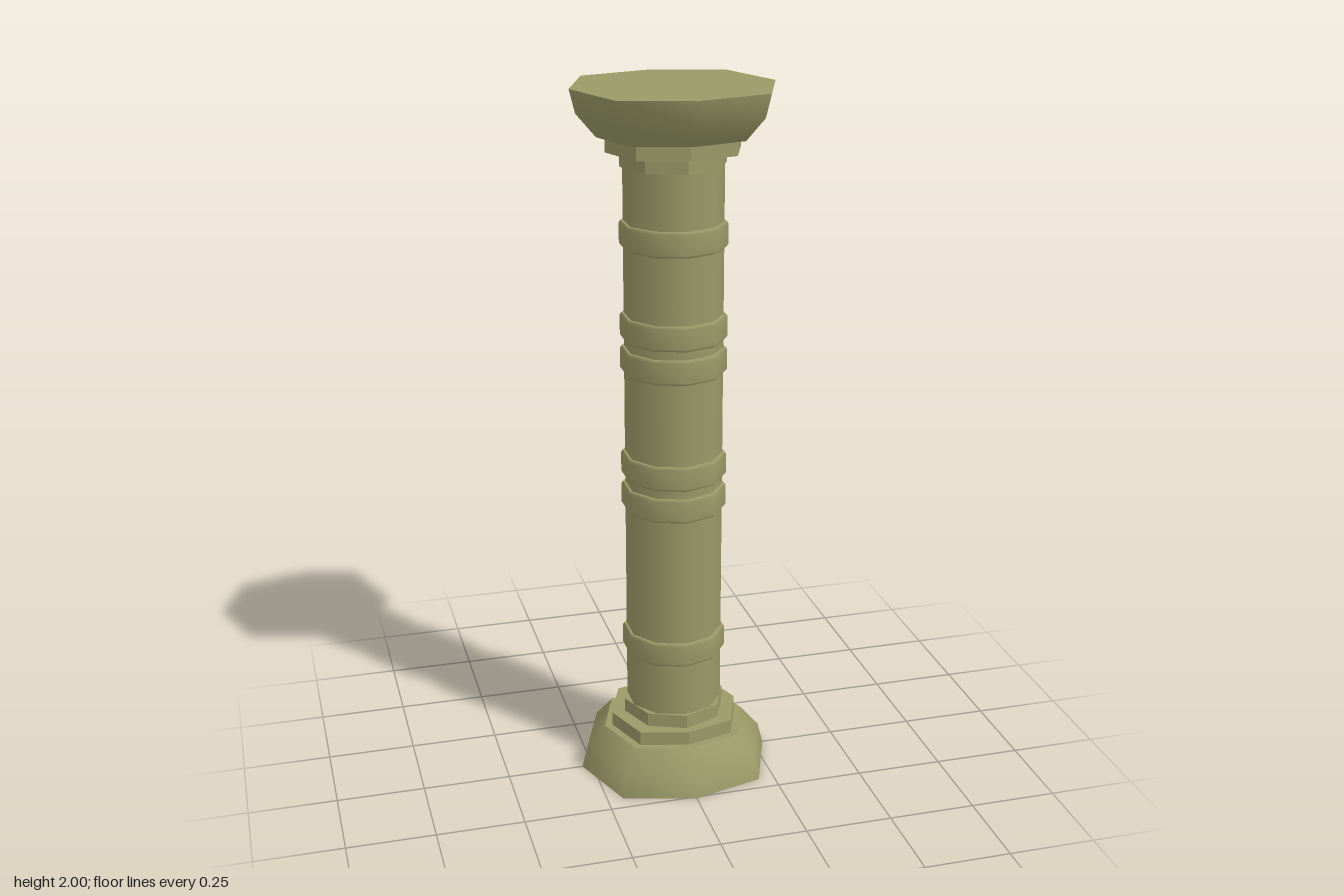
import * as THREE from 'three';
import { mergeGeometries } from 'three/addons/utils/BufferGeometryUtils.js';

const stone = new THREE.MeshStandardMaterial({ color: 0x9a9a68 });
const stoneFlat = new THREE.MeshStandardMaterial({ color: 0x9a9a68, flatShading: true });

// Turns a regular octagon into the uneven one of the footing: wide in x, shallow in z
function unevenOctagon(geometry) {
  const p = geometry.attributes.position;
  for (let i = 0; i < p.count; i++) {
    const x = p.getX(i), z = p.getZ(i);
    const ax = Math.abs(x), az = Math.abs(z);
    if (ax > 1e-4 && az > 1e-4) p.setXYZ(i, x * 1.03, p.getY(i), z * 1.03);
    else if (az > 1e-4) p.setZ(i, z * 0.921);
  }
  return geometry;
}

// Smooth sides from a bottom-to-top [radius, y] profile, with flat caps at both ends
function turned(profile, sides) {
  const points = profile.map(([r, y]) => new THREE.Vector2(r, y));
  const cap = (r, y, up) => new THREE.CircleGeometry(r, sides, Math.PI / 2)
    .rotateX(up ? -Math.PI / 2 : Math.PI / 2).translate(0, y, 0);
  const last = profile[profile.length - 1];
  return mergeGeometries([
    new THREE.LatheGeometry(points, sides),
    cap(profile[0][0], profile[0][1], false),
    cap(last[0], last[1], true),
  ]);
}

function addMesh(parent, name, geometry, material = stone) {
  const mesh = new THREE.Mesh(geometry, material);
  mesh.name = name;
  parent.add(mesh);
}

// Footing with two stepped collars; turned over it is the capital
function footing(name) {
  const group = new THREE.Group();
  group.name = name;
  addMesh(group, 'bowl', unevenOctagon(turned([[0.28, 0], [0.264, 0.064], [0.21, 0.128]], 8)));
  addMesh(group, 'wideCollar',
    unevenOctagon(new THREE.CylinderGeometry(0.187, 0.187, 0.042, 8).translate(0, 0.148, 0)), stoneFlat);
  addMesh(group, 'narrowCollar',
    new THREE.CylinderGeometry(0.148, 0.148, 0.042, 8).translate(0, 0.188, 0), stoneFlat);
  return group;
}

export function createModel() {
  const column = new THREE.Group();
  column.name = 'column';

  const base = footing('base');
  const capital = footing('capital');
  capital.rotation.x = Math.PI;
  capital.position.y = 2;
  column.add(base, capital);

  // Ten-sided shaft
  addMesh(column, 'shaft', new THREE.CylinderGeometry(0.137, 0.137, 1.7, 10, 1, true).translate(0, 1, 0));

  // Raised bands: single ones near the ends, two pairs between
  for (const y of [0.367, 0.812, 0.907, 1.215, 1.31, 1.568]) {
    addMesh(column, 'band', turned(
      [[0.143, y], [0.148, y + 0.007], [0.148, y + 0.063], [0.143, y + 0.07]], 10));
  }
  return column;
}
